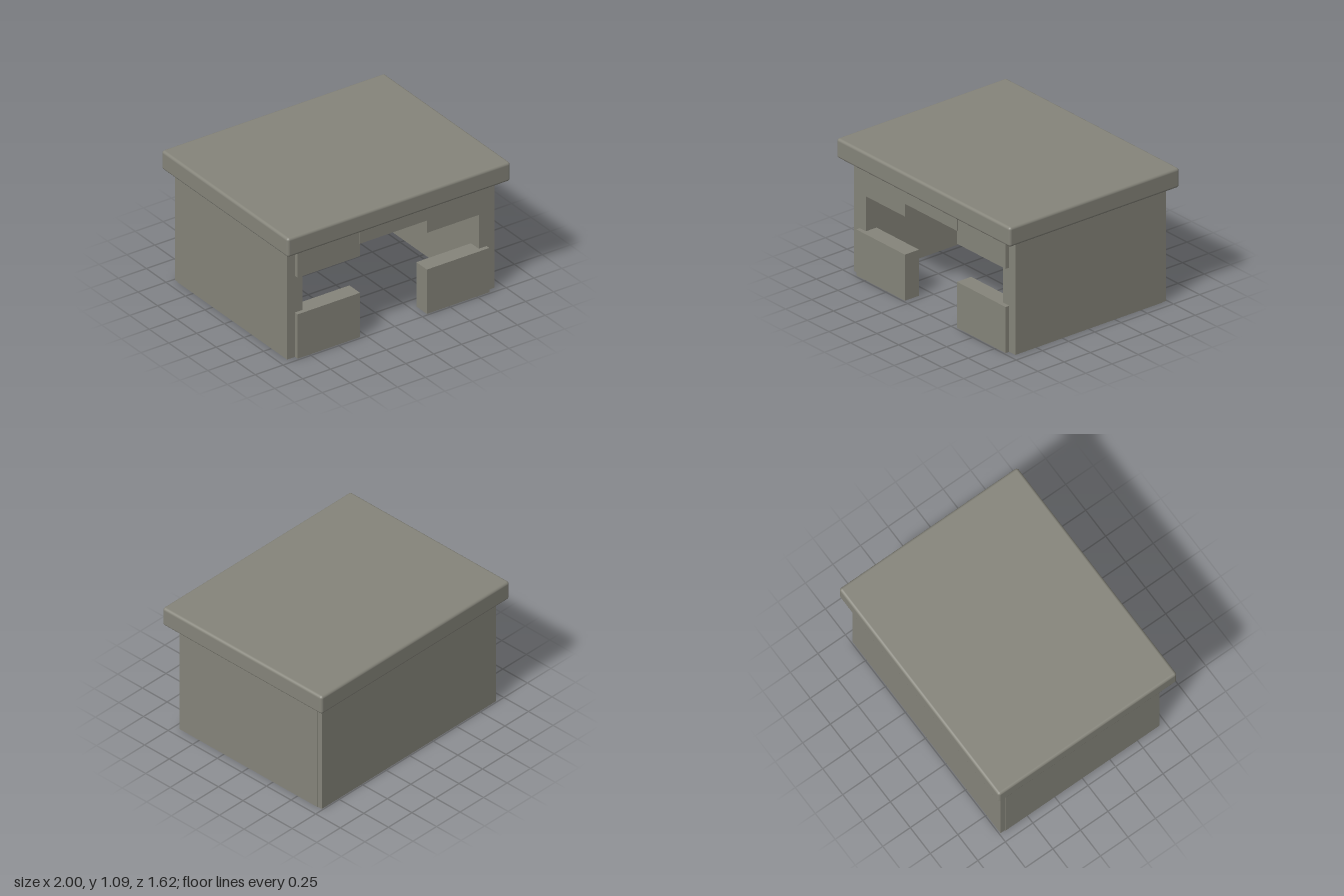
import * as THREE from 'three';
import { RoundedBoxGeometry } from 'three/addons/geometries/RoundedBoxGeometry.js';

export function createModel() {
  const group = new THREE.Group();
  const material = new THREE.MeshStandardMaterial({ color: 0x85847a });

  function add(name, geometry, x, y, z) {
    const mesh = new THREE.Mesh(geometry, material);
    mesh.name = name;
    mesh.position.set(x, y, z);
    group.add(mesh);
  }

  // Box given by its limits on each axis
  function block(name, [x0, x1], [y0, y1], [z0, z1]) {
    const geometry = new THREE.BoxGeometry(x1 - x0, y1 - y0, z1 - z0);
    add(name, geometry, (x0 + x1) / 2, (y0 + y1) / 2, (z0 + z1) / 2);
  }

  // Overhanging top slab with softened edges
  add('topSlab', new RoundedBoxGeometry(2, 0.16, 1.62, 3, 0.022), 0, 1.01, 0);

  // Back wall
  block('backWall', [-0.925, 0.925], [0, 0.94], [-0.74, -0.6]);

  // Side walls and the front blocks beside the opening
  for (const [side, s] of [['left', 1], ['right', -1]]) {
    const span = (a, b) => (s > 0 ? [a, b] : [-b, -a]);
    block(side + 'Wall', span(0.79, 0.93), [0, 0.94], [-0.7, 0.7]);
    block(side + 'LowerFrontBlock', span(0.3, 0.86), [0, 0.375], [0.6, 0.735]);
    block(side + 'UpperFrontBlock', span(0.3, 0.86), [0.685, 0.94], [0.6, 0.735]);
  }

  // Lintel across the middle of the opening
  block('frontLintel', [-0.31, 0.31], [0.795, 0.94], [0.6, 0.743]);

  return group;
}
